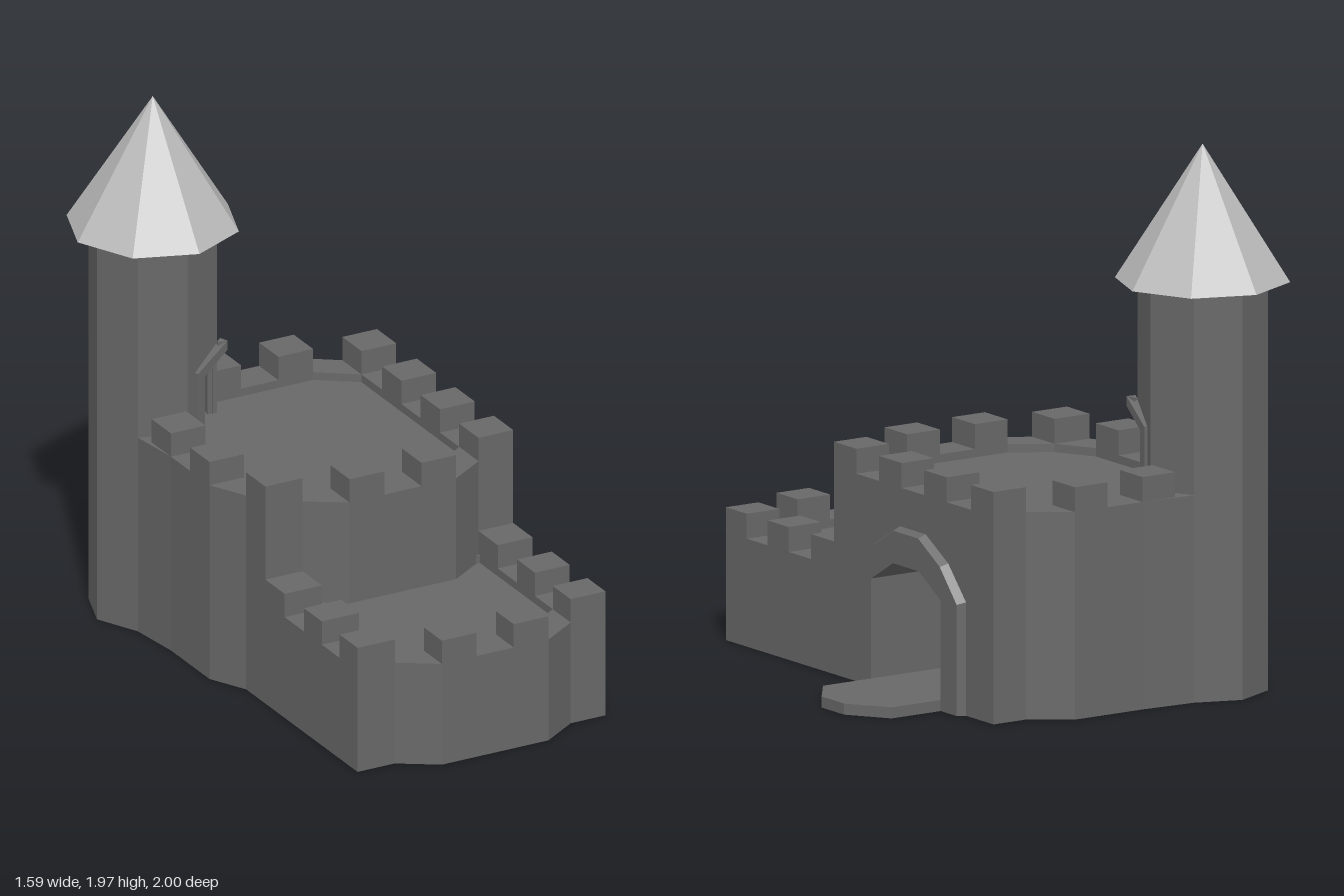
import * as THREE from 'three';

const stone = new THREE.MeshStandardMaterial({ color: 0x686868, flatShading: true, side: THREE.DoubleSide });
stone.name = 'dark stone';
const slate = new THREE.MeshStandardMaterial({ color: 0xbcbcbc, flatShading: true, side: THREE.DoubleSide });
slate.name = 'pale roof';

const toShape = pts => new THREE.Shape(pts.map(([x, y]) => new THREE.Vector2(x, y)));

export function createModel() {
  const castle = new THREE.Group();
  const add = (name, geo, mat = stone) => {
    const mesh = new THREE.Mesh(geo, mat);
    mesh.name = name;
    castle.add(mesh);
  };

  // Stands a geometry drawn in (u, y) along the plan line p -> q, facing outward
  const stand = (geo, p, q) => {
    const dir = new THREE.Vector3(q[0] - p[0], 0, q[1] - p[1]).normalize();
    const up = new THREE.Vector3(0, 1, 0);
    const m = new THREE.Matrix4().makeBasis(dir, up, dir.clone().cross(up));
    return geo.applyMatrix4(m.setPosition(p[0], 0, p[1]));
  };
  const wall = (name, p, q, y0, y1) => {
    const len = Math.hypot(q[0] - p[0], q[1] - p[1]);
    add(name, stand(new THREE.ShapeGeometry(toShape([[0, y0], [len, y0], [len, y1], [0, y1]])), p, q));
  };
  const walls = (name, pts, y0, y1) => {
    for (let i = 0; i < pts.length - 1; i++) wall(name, pts[i], pts[i + 1], y0, y1);
  };
  const plan = pts => toShape(pts.map(([x, z]) => [x, -z]));
  // Wall walk round a slightly sunken floor
  const step = 0.03;
  const deck = (name, outer, inner, y) => {
    const walk = plan(outer);
    walk.holes.push(plan(inner));
    add(name + 'WallWalk', new THREE.ShapeGeometry(walk).rotateX(-Math.PI / 2).translate(0, y, 0));
    add(name + 'Floor', new THREE.ShapeGeometry(plan(inner)).rotateX(-Math.PI / 2).translate(0, y - step, 0));
    walls(name + 'InnerWall', [...inner, inner[0]], y - step, y);
  };
  const merlons = (name, list, y0, y1) => {
    for (const [x0, x1, z0, z1] of list) {
      const geo = new THREE.BoxGeometry(x1 - x0, y1 - y0, z1 - z0);
      add(name, geo.translate((x0 + x1) / 2, (y0 + y1) / 2, (z0 + z1) / 2));
    }
  };

  // Corner points of the eight-sided tower
  const turn = 0.05, cx = -0.487, cz = -0.692, r = 0.232;
  const ring = k => {
    const a = turn + k * Math.PI / 4;
    return [cx + Math.sin(a) * r, cz + Math.cos(a) * r];
  };

  // Lower courtyard
  const yardFront = [[-0.55, 0.24], [-0.55, 0.91], [-0.4, 0.91], [-0.26, 1], [0.17, 1], [0.31, 0.91], [0.45, 0.91], [0.45, 0.24]];
  walls('courtyardWall', yardFront, 0, 0.39);
  deck('courtyard', yardFront,
    [[-0.4, 0.25], [-0.4, 0.78], [-0.26, 0.87], [0.17, 0.87], [0.31, 0.78], [0.31, 0.25]], 0.39);
  const yardMerlons = [[0.03, 0.17, 0.87, 1], [-0.26, -0.12, 0.87, 1]];
  for (const [x0, x1] of [[0.31, 0.45], [-0.55, -0.4]]) {
    for (const [z0, z1] of [[0.78, 0.91], [0.52, 0.65], [0.24, 0.38]]) yardMerlons.push([x0, x1, z0, z1]);
  }
  merlons('courtyardMerlon', yardMerlons, 0.39, 0.48);

  // Upper keep: front above the courtyard, back and left to the ground
  const keepFront = [[-0.55, 0.24], [-0.4, 0.24], [-0.26, 0.33], [0.17, 0.33], [0.31, 0.24], [0.45, 0.24]];
  const keepBack = [[0.45, -0.75], [0.31, -0.75], [0.17, -0.85], [-0.12, -0.85], ring(3)];
  const keepLeft = [ring(7), [-0.62, -0.32], [-0.62, -0.04], [-0.55, 0.1], [-0.55, 0.24]];
  walls('keepFrontWall', keepFront, 0.39 - step, 0.75);
  walls('keepBackWall', keepBack, 0, 0.75);
  walls('keepLeftWall', keepLeft, 0, 0.75);
  deck('keep', [...keepFront, ...keepBack, ring(4), ring(5), ring(6), ...keepLeft.slice(0, 4)],
    [[-0.48, -0.04], [-0.4, 0.1], [-0.26, 0.19], [0.17, 0.19], [0.31, 0.1], [0.31, -0.61], [0.17, -0.71], [-0.27, -0.71], [-0.48, -0.47]], 0.75);
  const keepMerlons = [[0.31, 0.45, 0.1, 0.24], [-0.55, -0.4, 0.1, 0.24], [-0.62, -0.48, -0.18, -0.04], [-0.62, -0.48, -0.46, -0.32]];
  for (const z of [-0.18, -0.46, -0.75]) keepMerlons.push([0.31, 0.45, z, z + 0.14]);
  for (const x of [0.03, -0.26]) keepMerlons.push([x, x + 0.14, 0.19, 0.33], [x, x + 0.14, -0.85, -0.71]);
  merlons('keepMerlon', keepMerlons, 0.75, 0.84);

  // Right wall with the gate cut out, u = 0.24 - z
  const gate = [[0.275, 0], [0.275, 0.4], [0.41, 0.48], [0.57, 0.48], [0.705, 0.4], [0.705, 0]];
  const gateLine = [[0.45, 0.24], [0.45, -0.75]];
  add('gateWall', stand(new THREE.ShapeGeometry(
    toShape([[0, 0], ...gate, [0.99, 0], [0.99, 0.75], [0, 0.75]])), ...gateLine));

  // Gate passage and its end wall
  const quads = [];
  for (let i = 0; i < gate.length - 1; i++) {
    const [a, b] = gate[i], [c, d] = gate[i + 1];
    quads.push(a, b, 0, c, d, 0, c, d, -0.45, a, b, 0, c, d, -0.45, a, b, -0.45);
  }
  const passage = new THREE.BufferGeometry();
  passage.setAttribute('position', new THREE.Float32BufferAttribute(quads, 3));
  passage.computeVertexNormals();
  add('gatePassage', stand(passage, ...gateLine));
  add('gateEndWall', stand(new THREE.ShapeGeometry(toShape(gate)).translate(0, 0, -0.45), ...gateLine));

  // Gate surround with a sloping outer edge
  const arch = [[0.16, 0], [0.16, 0.41], [0.27, 0.53], [0.41, 0.61], [0.57, 0.61], [0.71, 0.53], [0.82, 0.41], [0.82, 0]];
  const archGeo = new THREE.ExtrudeGeometry(toShape([...arch, ...gate.slice().reverse()]), { depth: 0.03, bevelEnabled: false });
  const pos = archGeo.attributes.position;
  for (let i = 0; i < pos.count; i++) {
    const u = pos.getX(i) - 0.49, y = pos.getY(i);
    if (pos.getZ(i) > 0.01 && (Math.abs(u) > 0.3 || y > 0.5)) pos.setXY(i, 0.49 + u * 0.955, y * 0.98);
  }
  archGeo.computeVertexNormals();
  add('gateSurround', stand(archGeo, ...gateLine));

  // Drawbridge reaching into the passage
  const bridge = [[0, 0.04], [0.69, 0.04], [0.793, 0.18], [0.793, 0.32], [0.69, 0.466], [0, 0.466]];
  add('drawbridge', new THREE.ExtrudeGeometry(toShape(bridge), { depth: 0.04, bevelEnabled: false }).rotateX(-Math.PI / 2));

  // Tower: outer faces reach the ground, the others rise from the keep
  const floorY = 0.75 - step;
  for (let k = 2; k < 8; k++) wall('towerWall', ring(k), ring(k + 1), k > 2 && k < 7 ? 0 : floorY, 1.46);

  // Doorway wrapped round the corner that faces the keep
  const side = 2 * r * Math.sin(Math.PI / 8), half = 0.152;
  const doorSide = [[0, floorY], [side - 0.09, floorY], [side - 0.09, 0.95], [side, 1.01], [side, 1.46], [0, 1.46]];
  const frame = [[0, floorY], [0.035, floorY], [0.035, 0.95], [half, 1.015], [half, 1.05], [0, 0.97]];
  const frameLine = [[-0.43, -0.465], [-0.285, -0.512], [-0.258, -0.662]];
  for (const k of [0, 1]) {
    const flip = (pts, w) => (k ? pts.map(([u, y]) => [w - u, y]) : pts);
    add('towerDoorWall', stand(new THREE.ShapeGeometry(toShape(flip(doorSide, side))), ring(k), ring(k + 1)));
    const geo = new THREE.ExtrudeGeometry(toShape(flip(frame, half)), { depth: 0.035, bevelEnabled: false });
    add('towerDoorFrame', stand(geo.translate(0, 0, -0.035), frameLine[k], frameLine[k + 1]));
  }

  // Pointed roof and its eaves
  add('towerRoof', new THREE.ConeGeometry(0.312, 0.492, 8, 1, true, turn).translate(cx, 1.724, cz), slate);
  add('towerEaves', new THREE.CylinderGeometry(0.312, r, 0.018, 8, 1, true, turn).translate(cx, 1.469, cz), slate);

  return castle;
}
